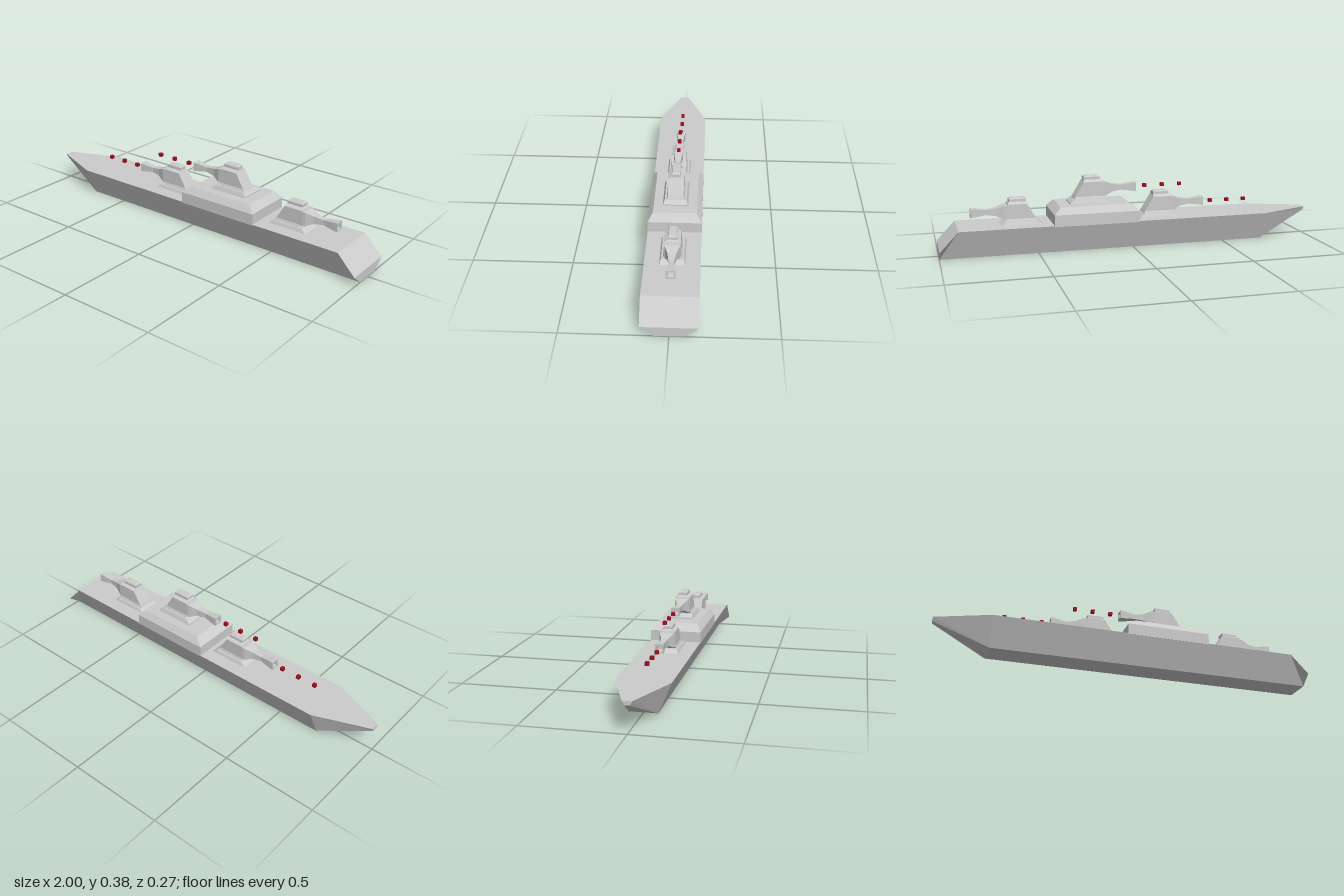
import * as THREE from 'three';

const grey = new THREE.MeshStandardMaterial({ color: 0xcccccc, flatShading: true });
const red = new THREE.MeshStandardMaterial({ color: 0xa01020, flatShading: true });

// Loft along +x. Each section lists [x, y, z] on the +z half, top to bottom;
// it is mirrored across z = 0 and both ends are capped.
function loft(name, sections) {
  const rings = sections.map((half) => [
    ...half, ...half.map(([x, y, z]) => [x, y, -z]).reverse(),
  ].map((p) => new THREE.Vector3(...p)));
  const n = rings[0].length;
  const pos = [];
  const tri = (a, b, c) => {
    const area = b.clone().sub(a).cross(c.clone().sub(a)).length();
    if (area > 1e-9) for (const v of [a, b, c]) pos.push(v.x, v.y, v.z);
  };
  const quad = (a, b, c, d) => { tri(a, b, c); tri(a, c, d); };
  for (let r = 0; r < rings.length - 1; r++) {
    for (let i = 0; i < n; i++) {
      const j = (i + 1) % n;
      quad(rings[r][i], rings[r][j], rings[r + 1][j], rings[r + 1][i]);
    }
  }
  const first = rings[0], last = rings[rings.length - 1];
  for (let i = 0; i < n / 2 - 1; i++) {
    quad(last[i], last[i + 1], last[n - 2 - i], last[n - 1 - i]);
    quad(first[n - 1 - i], first[n - 2 - i], first[i + 1], first[i]);
  }
  const geo = new THREE.BufferGeometry();
  geo.setAttribute('position', new THREE.Float32BufferAttribute(pos, 3));
  geo.computeVertexNormals();
  const mesh = new THREE.Mesh(geo, grey);
  mesh.name = name;
  return mesh;
}

// Turret with its gun pointing along +x
function turret(name, x, y, turn) {
  const g = new THREE.Group();
  g.name = name;
  g.add(loft('turretBase', [
    [[-0.085, 0.022, 0.054], [-0.105, 0.006, 0.061], [-0.105, 0, 0.063]],
    [[0.08, 0.022, 0.054], [0.105, 0.006, 0.061], [0.105, 0, 0.063]],
  ]));
  g.add(loft('turretBody', [
    [[-0.025, 0.12, 0.022], [-0.03, 0.11, 0.039], [-0.075, 0.035, 0.039], [-0.082, 0.02, 0.046]],
    [[0.06, 0.12, 0.022], [0.068, 0.11, 0.039], [0.083, 0.035, 0.039], [0.055, 0.02, 0.046]],
  ]));
  g.add(loft('turretCap', [
    [[-0.02, 0.14, 0.017], [-0.027, 0.134, 0.022], [-0.027, 0.117, 0.022]],
    [[0.052, 0.14, 0.017], [0.06, 0.134, 0.022], [0.06, 0.117, 0.022]],
  ]));
  // Square barrel: root, waist, flared muzzle, lip and bore
  const barrel = [
    [0.07, 0.068, 0.037], [0.085, 0.068, 0.036], [0.125, 0.07, 0.02], [0.175, 0.07, 0.013],
    [0.235, 0.07, 0.021], [0.255, 0.07, 0.023], [0.255, 0.07, 0.014], [0.215, 0.07, 0.011],
  ];
  g.add(loft('gunBarrel', barrel.map(([bx, cy, h]) => [[bx, cy + h, h], [bx, cy - h, h]])));
  g.position.set(x, y, 0);
  g.rotation.y = turn;
  return g;
}

export function createModel() {
  const ship = new THREE.Group();
  ship.name = 'warship';

  // Hull: bow tip, shoulder, after deck edge, sloped stern
  ship.add(loft('hull', [
    [[-1, 0.15, 0.023], [-1, 0.13, 0.013], [-1, 0.13, 0.013]],
    [[-0.72, 0.15, 0.133], [-0.72, 0, 0.07], [-0.72, 0, 0.07]],
    [[0.905, 0.15, 0.133], [1, 0, 0.07], [1, 0, 0.07]],
    [[0.905, 0.15, 0.133], [1, 0.05, 0.133], [1, 0, 0.07]],
  ]));

  // Raised deckhouse with bevelled roof
  ship.add(loft('deckhouse', [
    [[0.025, 0.24, 0.108], [-0.02, 0.205, 0.133], [-0.02, 0.145, 0.133]],
    [[0.39, 0.24, 0.108], [0.425, 0.205, 0.133], [0.425, 0.145, 0.133]],
  ]));

  ship.add(turret('foreTurret', -0.15, 0.144, Math.PI));
  ship.add(turret('upperTurret', 0.225, 0.24, Math.PI));
  ship.add(turret('aftTurret', 0.58, 0.144, 0));

  // Shots in flight ahead of the two forward guns
  const shotGeo = new THREE.BoxGeometry(0.018, 0.018, 0.018);
  for (const [x0, y] of [[-0.645, 0.21], [-0.275, 0.312]]) {
    for (let i = 0; i < 3; i++) {
      const shot = new THREE.Mesh(shotGeo, red);
      shot.name = 'shot';
      shot.position.set(x0 + i * 0.097, y, 0);
      ship.add(shot);
    }
  }
  return ship;
}
